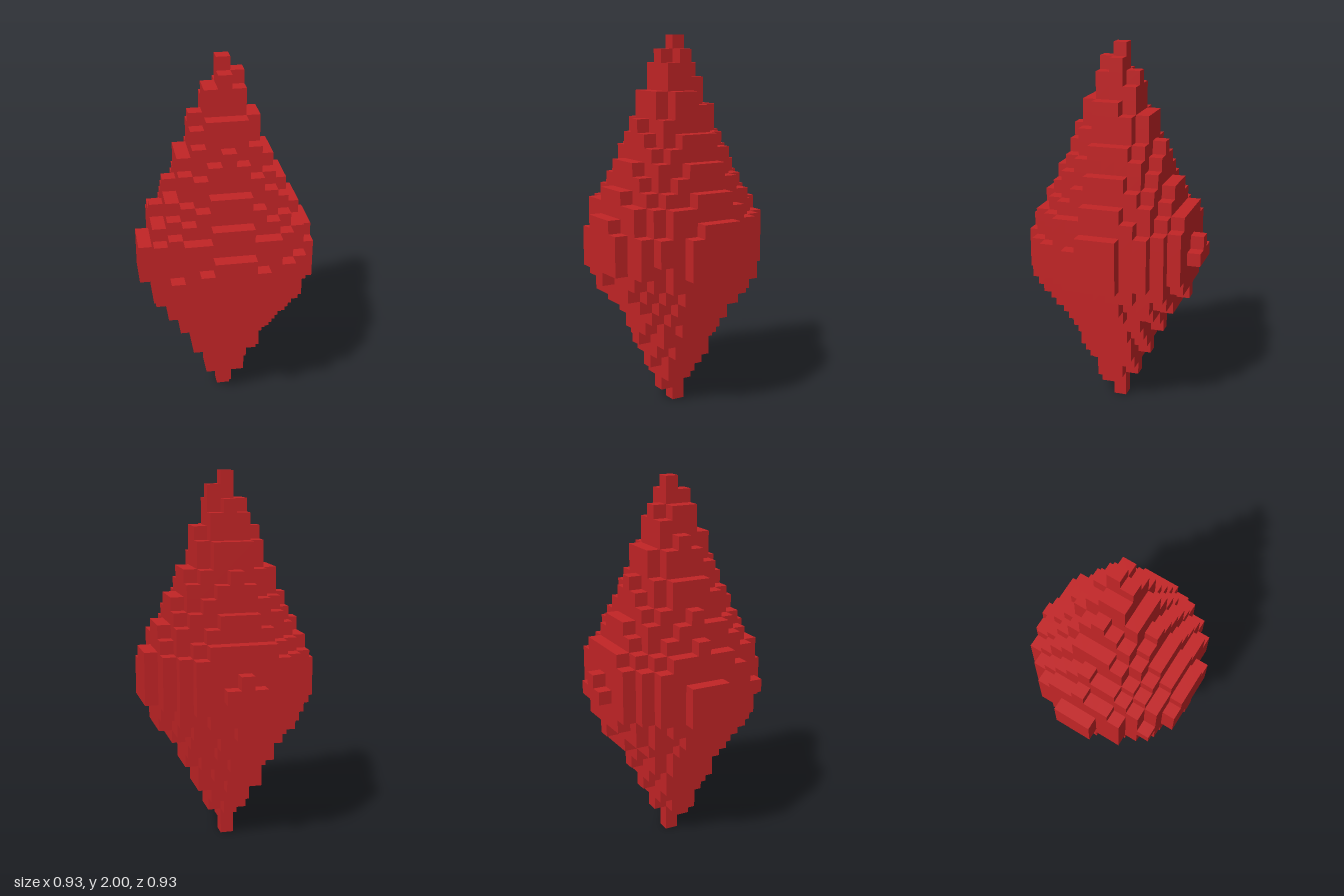
import * as THREE from 'three';
import { mergeGeometries } from 'three/addons/utils/BufferGeometryUtils.js';

// Radius of each voxel layer, from the bottom tip to the top tip
const RADII = [
  0.4, 0.87, 1.4, 1.87, 2.4, 2.87, 3.3, 3.7, 4.5, 5.3, 5.82, 6.21, 6.314, 6.25,
  6.064, 5.7, 5.12, 4.6, 4.12, 3.7, 3.3, 2.88, 2.5, 2.15, 1.75, 1.4, 1.0, 0.5,
];
const UNIT = 2 / RADII.length; // edge of one cube
const CX = 0.065, CZ = 0.22;   // slight offset of the axis, in cubes
const REACH = 6;

const isFilled = (x, y, z) =>
  y >= 0 && y < RADII.length && Math.hypot(x - CX, z - CZ) <= RADII[y];

// One outward-facing square for each side of a cube
function makeSides() {
  const side = (dx, dy, dz, rx, ry) => ({
    dir: [dx, dy, dz],
    square: new THREE.PlaneGeometry(UNIT, UNIT)
      .translate(0, 0, UNIT / 2).rotateX(rx).rotateY(ry),
  });
  const q = Math.PI / 2;
  return [
    side(0, 0, 1, 0, 0), side(0, 0, -1, 0, 2 * q),
    side(1, 0, 0, 0, q), side(-1, 0, 0, 0, -q),
    side(0, 1, 0, -q, 0), side(0, -1, 0, q, 0),
  ];
}

export function createModel() {
  const model = new THREE.Group();
  model.name = 'crystal';

  const red = new THREE.MeshStandardMaterial({ color: 0xc22426 });
  red.name = 'crystal red';

  // Keep only the exposed cube faces
  const sides = makeSides();
  const faces = [];
  for (let y = 0; y < RADII.length; y++) {
    for (let x = -REACH; x <= REACH; x++) {
      for (let z = -REACH; z <= REACH; z++) {
        if (!isFilled(x, y, z)) continue;
        for (const { dir, square } of sides) {
          if (isFilled(x + dir[0], y + dir[1], z + dir[2])) continue;
          faces.push(square.clone().translate(x * UNIT, (y + 0.5) * UNIT, z * UNIT));
        }
      }
    }
  }

  const body = new THREE.Mesh(mergeGeometries(faces), red);
  body.name = 'crystalBody';
  model.add(body);
  return model;
}
